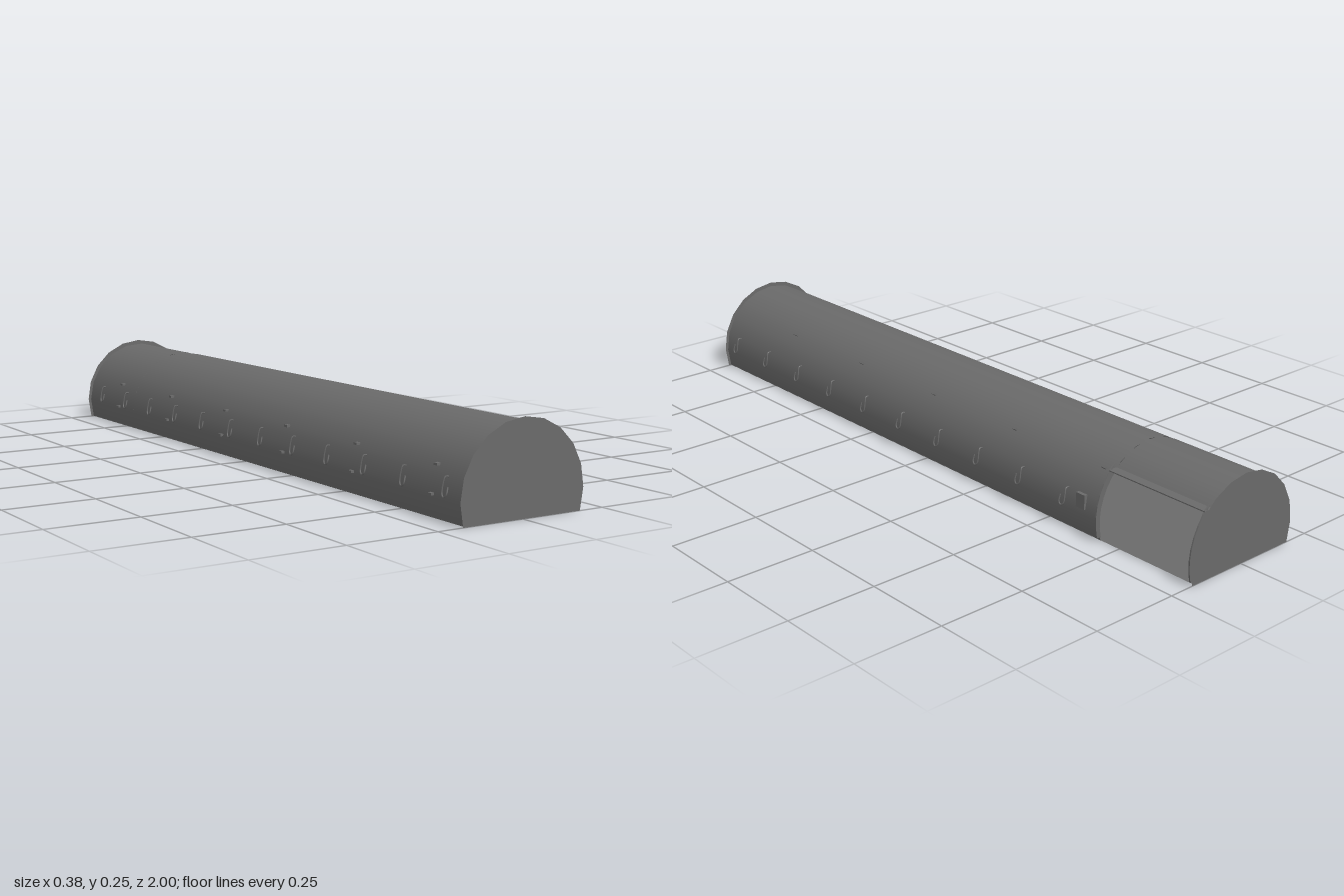
import * as THREE from 'three';

const DEG = Math.PI / 180;
const R = 0.178, CY = 0.055;          // shell radius and axis height
const CAP_R = 0.187, CAP_Y = 0.058;   // end walls are slightly larger
const DOOR_Z = -0.685, DOOR_TOP = 138; // side opening: front edge, top angle

export function createModel() {
  const group = new THREE.Group();
  const grey = new THREE.MeshStandardMaterial({ color: 0x6a6a6a, side: THREE.DoubleSide });
  grey.name = 'darkGrey';

  function add(name, geometry, x = 0, y = 0, z = 0, parent = group) {
    const mesh = new THREE.Mesh(geometry, grey);
    mesh.name = name;
    mesh.position.set(x, y, z);
    parent.add(mesh);
    return mesh;
  }

  // Angles run from straight down, through +x, over the top, to -x
  const point = (deg, r, cy) =>
    new THREE.Vector2(r * Math.sin(deg * DEG), cy - r * Math.cos(deg * DEG));

  function shell(name, r, z0, z1, from, to, segments) {
    const g = new THREE.CylinderGeometry(r, r, z1 - z0, segments, 1, true, from * DEG, (to - from) * DEG);
    g.rotateX(Math.PI / 2);
    add(name, g, 0, CY, (z0 + z1) / 2);
  }

  // Vaulted shell, with part of the left wall left out at the back
  shell('vault', R, DOOR_Z, 1, 72, 288, 12);
  shell('vaultBack', R, -1, DOOR_Z, DOOR_TOP, 288, 8);

  // Floor in two halves
  for (const s of [-1, 1]) {
    const g = new THREE.PlaneGeometry(0.17, 2).rotateX(Math.PI / 2);
    add('floor', g, s * 0.085, 0.001, 0);
  }

  // Flat end walls
  const outline = [];
  for (let a = 72; a <= 288; a += 18) outline.push(point(a, CAP_R, CAP_Y));
  outline[0].y = outline[outline.length - 1].y = 0;
  const cap = new THREE.ShapeGeometry(new THREE.Shape(outline));
  add('frontWall', cap, 0, 0, 1);
  add('backWall', cap, 0, 0, -1).rotation.y = 0;

  // Raised frame round the side opening
  const ring = [];
  for (let a = 75; a <= DOOR_TOP; a += 9) ring.push(point(a, 0.19, 0.06));
  ring.push(new THREE.Vector2(0.146, 0.187), new THREE.Vector2(0.119, 0.187));
  for (let a = DOOR_TOP; a >= 75; a -= 9) ring.push(point(a, R - 0.002, CY));
  const arch = new THREE.ExtrudeGeometry(new THREE.Shape(ring), { depth: 0.004, bevelEnabled: false });
  add('openingArch', arch, 0, 0, DOOR_Z - 0.002);
  add('openingArch', arch, 0, 0, -0.999);
  add('openingLedge', new THREE.BoxGeometry(0.027, 0.003, 0.315), 0.1325, 0.186, -0.8425);

  // Bent handle standing off the wall
  const handlePath = new THREE.CatmullRomCurve3([
    new THREE.Vector3(-0.004, 0.025, -0.008),
    new THREE.Vector3(0.005, 0.024, -0.008),
    new THREE.Vector3(0.006, -0.018, -0.008),
    new THREE.Vector3(0.006, -0.025, 0),
    new THREE.Vector3(0.006, -0.018, 0.008),
    new THREE.Vector3(0.005, 0.002, 0.008),
  ]);
  const handleGeo = new THREE.TubeGeometry(handlePath, 20, 0.0022, 5, false);
  const clipGeo = new THREE.BoxGeometry(0.012, 0.006, 0.014);

  for (const side of [-1, 1]) {
    const count = side > 0 ? 10 : 12;
    for (let i = 0; i < count; i++) {
      const h = add('wallHandle', handleGeo, side * (R + 0.001), 0.085, 0.94 - i * 0.1667);
      h.rotation.z = side * 12 * DEG;
      if (side < 0) h.scale.x = -1;
    }
  }

  // Small clips: high on the left wall, in pairs on the right wall
  for (let i = 0; i < 6; i++) {
    if (i < 5) {
      const p = point(134, R, CY);
      add('upperClip', clipGeo, p.x, p.y, 0.68 - i * 0.333).rotation.z = 44 * DEG;
    }
    for (const y of [0.06, 0.13]) {
      const x = -Math.sqrt(R * R - (y - CY) ** 2);
      add('lowerClip', clipGeo, x - 0.002, y, 0.88 - i * 0.333);
    }
  }

  // Control box beside the opening
  add('controlBox', new THREE.BoxGeometry(0.01, 0.04, 0.03), R - 0.003, 0.09, -0.62);

  return group;
}
